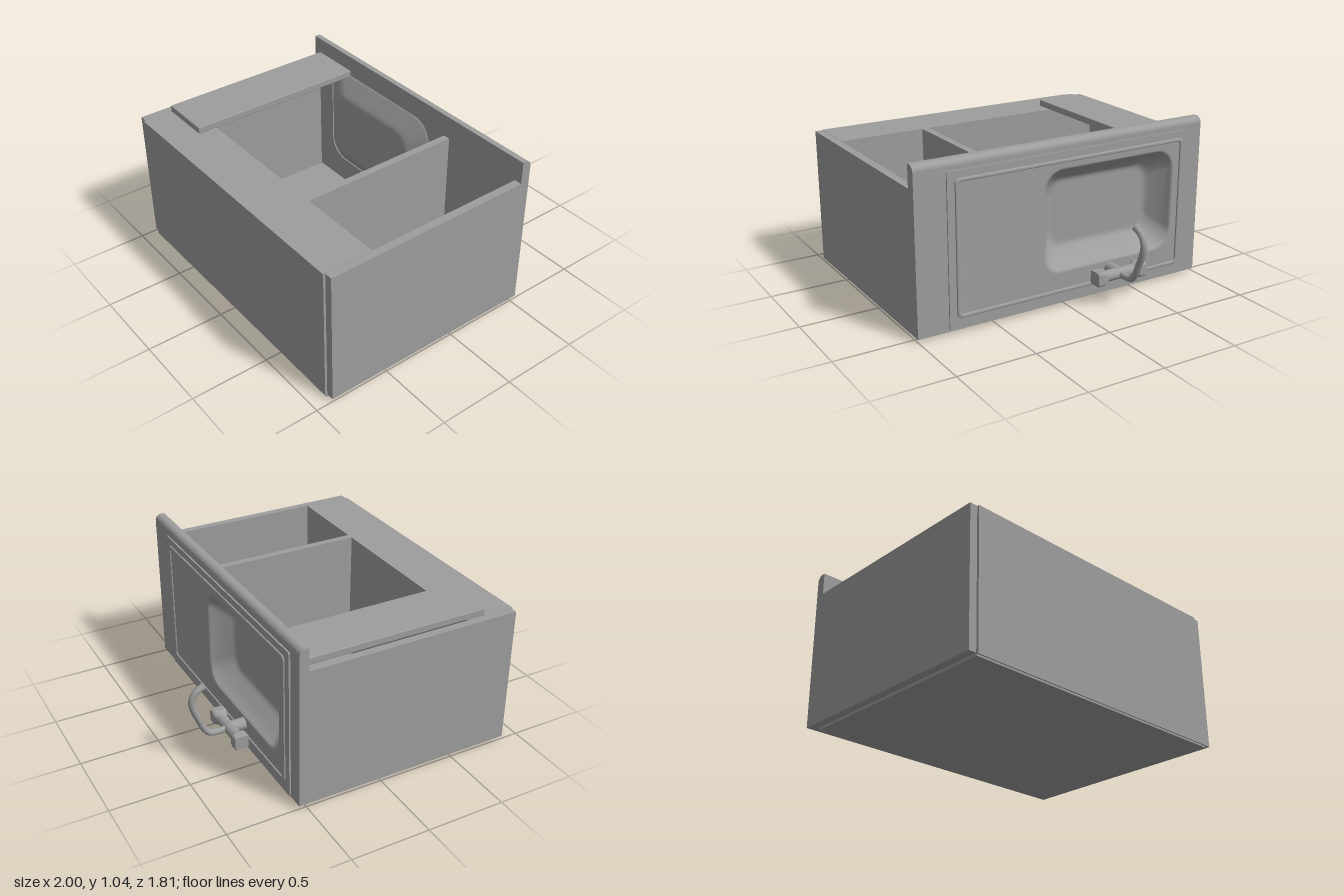
import * as THREE from 'three';
import { RoundedBoxGeometry } from 'three/addons/geometries/RoundedBoxGeometry.js';

const grey = new THREE.MeshStandardMaterial({ color: 0x9d9d9d });
const greyDouble = new THREE.MeshStandardMaterial({ color: 0x9d9d9d, side: THREE.DoubleSide });

// Rounded rectangle as a counter-clockwise list of points
function roundRect(x0, y0, x1, y1, r, steps = 8) {
  const corners = [[x1 - r, y1 - r], [x0 + r, y1 - r], [x0 + r, y0 + r], [x1 - r, y0 + r]];
  const pts = [];
  corners.forEach(([cx, cy], i) => {
    for (let k = 0; k <= steps; k++) {
      const a = (i + k / steps) * Math.PI / 2;
      pts.push(new THREE.Vector2(cx + r * Math.cos(a), cy + r * Math.sin(a)));
    }
  });
  return pts;
}

// Skin over rounded-rectangle rings stacked along z: [points, z]
function loft(rings, capStart) {
  const pos = [], idx = [], n = rings[0][0].length;
  rings.forEach(([pts, z]) => pts.forEach(p => pos.push(p.x, p.y, z)));
  for (let i = 0; i < rings.length - 1; i++) {
    for (let j = 0; j < n; j++) {
      const a = i * n + j, b = i * n + (j + 1) % n;
      idx.push(a, b, b + n, a, b + n, a + n);
    }
  }
  const cap = ([pts, z], flip) => {
    const base = pos.length / 3;
    pts.forEach(p => pos.push(p.x, p.y, z));
    for (let j = 1; j < n - 1; j++) {
      idx.push(base, base + (flip ? j + 1 : j), base + (flip ? j : j + 1));
    }
  };
  cap(rings[rings.length - 1], false);
  if (capStart) cap(rings[0], true);
  const g = new THREE.BufferGeometry();
  g.setAttribute('position', new THREE.Float32BufferAttribute(pos, 3));
  g.setIndex(idx);
  g.computeVertexNormals();
  return g;
}

export function createModel() {
  const model = new THREE.Group();
  const add = (name, geo, parent = model, mat = grey) => {
    const m = new THREE.Mesh(geo, mat);
    m.name = name;
    parent.add(m);
    return m;
  };
  // Box given by its limits
  const box = (name, x0, x1, y0, y1, z0, z1, r = 0) => {
    const s = [x1 - x0, y1 - y0, z1 - z0];
    const g = r ? new RoundedBoxGeometry(...s, 2, r) : new THREE.BoxGeometry(...s);
    g.translate((x0 + x1) / 2, (y0 + y1) / 2, (z0 + z1) / 2);
    add(name, g);
  };
  // Flat sheet in the xy plane with a hole, from z0 to z1
  const sheet = (name, parent, outline, hole, z0, z1, bevel = 0) => {
    const s = new THREE.Shape(outline);
    s.holes.push(new THREE.Path(hole));
    const g = new THREE.ExtrudeGeometry(s, {
      depth: z1 - z0 - 2 * bevel, bevelEnabled: bevel > 0, bevelSize: bevel,
      bevelThickness: bevel, bevelOffset: -bevel, bevelSegments: 2,
    });
    g.translate(0, 0, z0 + bevel);
    add(name, g, parent);
  };

  // Cabinet carcass, lying on its back panel
  box('backPanel', -0.95, 0.95, 0, 0.018, -0.483, 0.895);
  box('rightSide', -1, -0.95, 0.018, 0.9, -0.483, 0.89);
  box('leftSide', 0.95, 1, 0.018, 0.9, -0.483, 0.89);
  box('partition', 0.338, 0.385, 0.018, 0.9, -0.483, 0.58);
  box('floorAndPlinth', -0.948, 0.948, 0.012, 0.9, 0.58, 0.903);
  box('looseRail', -0.945, -0.6, 0.9, 0.945, -0.483, 0.705, 0.006);

  // Outlines of the basin's underside and of its opening, drawn in by d
  const underside = d => roundRect(-0.81 + d, 0.19 + d, 0.205 - d, 0.91 - d, 0.14 - d * 0.2);
  const opening = d => roundRect(-0.785 + d, 0.222 + d, 0.17 - d, 0.878 - d, 0.125 - d * 0.2);

  // Worktop with a sink cut-out and a rounded front edge
  const slab = [[-1, 0.018], [1, 0.018], [1, 0.99], [-1, 0.99]].map(p => new THREE.Vector2(...p));
  sheet('worktop', model, slab, underside(0.003), -0.545, -0.483);
  const edge = new THREE.Shape();
  edge.moveTo(0.483, 0.99);
  edge.lineTo(0.545, 0.99);
  edge.absarc(0.505, 1.005, 0.04, 0, Math.PI / 2, false);
  edge.lineTo(0.483, 1.045);
  const edgeGeo = new THREE.ExtrudeGeometry(edge, { depth: 2, bevelEnabled: false, curveSegments: 8 });
  edgeGeo.rotateY(Math.PI / 2).translate(-1, 0, 0);
  add('worktopEdge', edgeGeo);

  // Sink top: thin plate, raised bead around it and the pressed basin
  const sink = new THREE.Group();
  sink.name = 'sink';
  model.add(sink);
  sheet('sinkPlate', sink, roundRect(-0.9, 0.025, 0.8, 0.98, 0.012), opening(0), -0.555, -0.543);
  sheet('sinkBead', sink, roundRect(-0.853, 0.092, 0.753, 0.935, 0.03),
    roundRect(-0.829, 0.116, 0.729, 0.911, 0.02), -0.565, -0.545, 0.008);
  const basinInside = [
    [-0.006, -0.556], [0.004, -0.556], [0.01, -0.551], [0.018, -0.538], [0.03, -0.515],
    [0.062, -0.476], [0.094, -0.44], [0.108, -0.427], [0.122, -0.42], [0.136, -0.418], [0.15, -0.418],
  ];
  const basinOutside = [
    [0, -0.51], [0.004, -0.49], [0.02, -0.478], [0.06, -0.452], [0.1, -0.425],
    [0.122, -0.411], [0.136, -0.405], [0.148, -0.403], [0.16, -0.403],
  ];
  add('basinInside', loft(basinInside.map(([d, z]) => [opening(d), z]), false), sink, greyDouble);
  add('basinUnderside', loft(basinOutside.map(([d, z]) => [underside(d), z]), false), sink, greyDouble);

  // Mixer tap
  const tap = new THREE.Group();
  tap.name = 'tap';
  tap.position.set(-0.315, 0.177, -0.655);
  model.add(tap);
  const base = add('tapBase', new THREE.CylinderGeometry(0.038, 0.038, 0.11, 24), tap);
  base.rotation.x = -Math.PI / 2;
  base.position.z = 0.05;
  const body = add('tapBody', new THREE.CylinderGeometry(0.036, 0.036, 0.24, 24), tap);
  body.rotation.z = Math.PI / 2;

  // Handles: round neck widening into a soft square knob
  const knob = [
    [0.09, 0.034, 0.033], [0.105, 0.037, 0.032], [0.122, 0.046, 0.026],
    [0.14, 0.048, 0.02], [0.158, 0.045, 0.018], [0.172, 0.047, 0.018], [0.18, 0.043, 0.018],
  ];
  for (const side of [-1, 1]) {
    const h = add(side > 0 ? 'leftHandle' : 'rightHandle',
      loft(knob.map(([z, s, r]) => [roundRect(-s, -s, s, s, r, 5), z]), true), tap);
    h.rotation.y = side * Math.PI / 2;
  }

  // Swan-neck spout with a nozzle ring
  const path = new THREE.CatmullRomCurve3([
    [0, -0.01], [0, -0.09], [0.01, -0.13], [0.05, -0.163], [0.12, -0.193],
    [0.21, -0.227], [0.265, -0.23], [0.315, -0.203], [0.342, -0.155],
  ].map(([y, z]) => new THREE.Vector3(0, y, z)));
  add('spout', new THREE.TubeGeometry(path, 60, 0.021, 16), tap, greyDouble);
  const nozzle = add('nozzle', new THREE.CylinderGeometry(0.024, 0.024, 0.016, 20), tap);
  nozzle.position.copy(path.getPoint(1));
  nozzle.quaternion.setFromUnitVectors(new THREE.Vector3(0, 1, 0), path.getTangent(1));

  return model;
}
